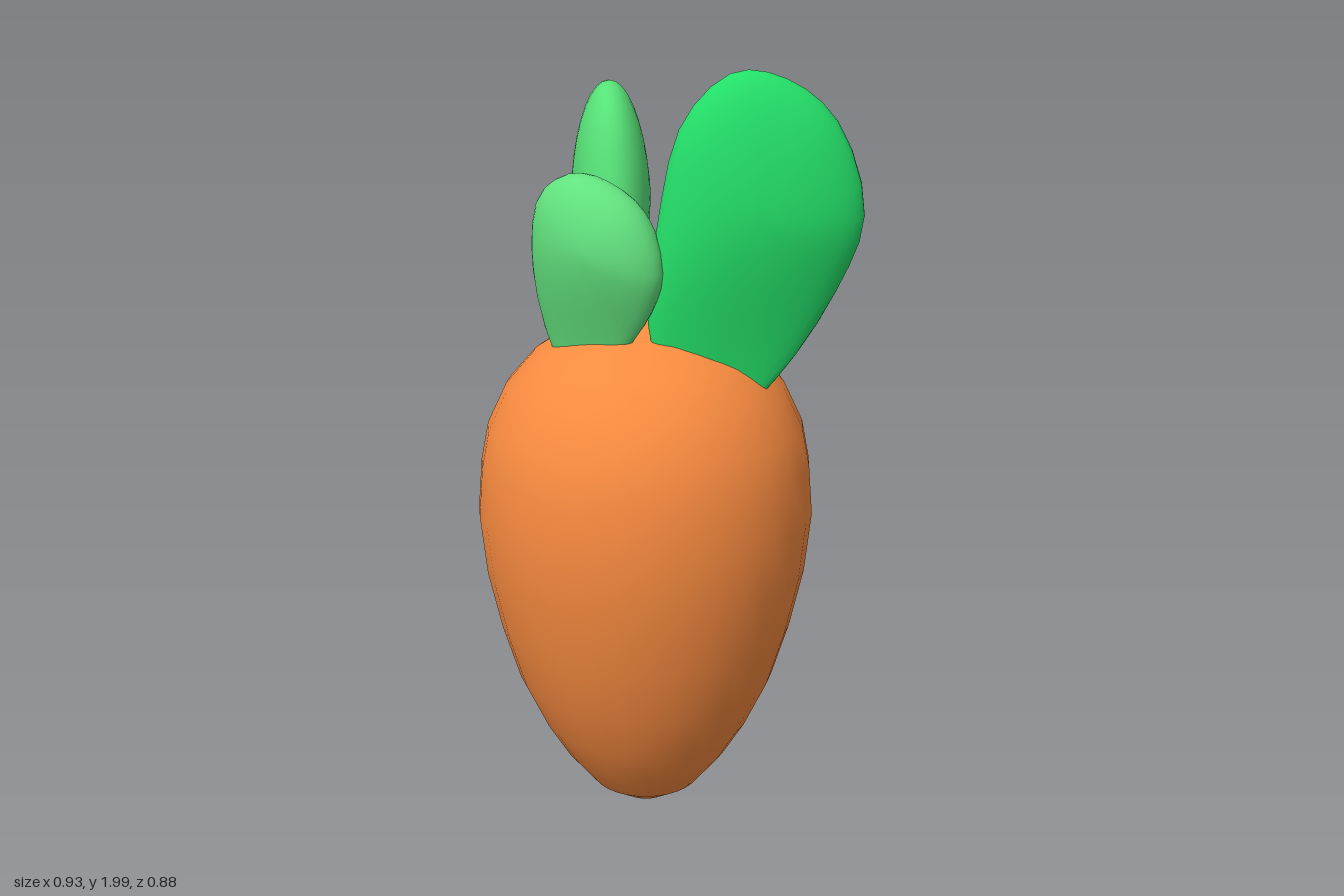
import * as THREE from 'three';
import { mergeVertices } from 'three/addons/utils/BufferGeometryUtils.js';

const vec3 = ([x, y]) => new THREE.Vector3(x, y, 0);

// Puffy leaf: a sphere remapped to a closed outline (counter-clockwise), thinner towards its base
function leafGeometry(outline, halfThickness, baseY, fullY) {
  const curve = new THREE.CatmullRomCurve3(outline.map(vec3), true);
  const box = new THREE.Box3().setFromPoints(outline.map(vec3));
  const centre = box.getCenter(new THREE.Vector3());
  centre.y += 0.07;
  const sphere = new THREE.SphereGeometry(1, 32, 20).rotateX(Math.PI / 2);
  sphere.deleteAttribute('uv');
  sphere.deleteAttribute('normal');
  const pos = sphere.attributes.position;
  for (let i = 0; i < pos.count; i++) {
    const x = pos.getX(i), y = pos.getY(i), z = pos.getZ(i);
    const t = (Math.atan2(y, x) / (2 * Math.PI) + 1) % 1;
    const p = curve.getPoint(t).sub(centre).multiplyScalar(Math.hypot(x, y)).add(centre);
    const swell = 0.25 + 0.75 * THREE.MathUtils.smoothstep(p.y, baseY, fullY);
    pos.setXYZ(i, p.x, p.y, z * halfThickness * swell);
  }
  const geometry = mergeVertices(sphere, 1e-4);
  geometry.computeVertexNormals();
  return geometry;
}

export function createModel() {
  const model = new THREE.Group();

  // Root: turned profile, rounded shoulder and blunt tip
  const profile = [
    [0, 0.01], [0.07, 0.022], [0.15, 0.075], [0.225, 0.17], [0.285, 0.27], [0.345, 0.4],
    [0.39, 0.55], [0.425, 0.71], [0.441, 0.87], [0.43, 1.0], [0.41, 1.1], [0.36, 1.205],
    [0.29, 1.285], [0.2, 1.345], [0.1, 1.373], [0, 1.38],
  ].map(([r, y]) => new THREE.Vector2(r, y));
  const root = new THREE.Mesh(
    new THREE.LatheGeometry(profile, 32),
    new THREE.MeshStandardMaterial({ color: 0xf98b40 }),
  );
  root.name = 'root';
  root.position.x = -0.035;
  model.add(root);

  // Leaves: outline in (along, up), placed and turned about the vertical
  const leaves = [
    {
      name: 'leftLeaf', color: 0x24e069, at: [0.265, -0.08], turn: 0.82, half: 0.1, baseY: 1.15, fullY: 1.7,
      outline: [[0.26, 1.66], [0.19, 1.88], [0.07, 1.98], [-0.06, 2.0], [-0.18, 1.89], [-0.24, 1.66],
        [-0.26, 1.35], [-0.17, 1.16], [-0.05, 1.16], [0.06, 1.26], [0.2, 1.48]],
    },
    {
      name: 'rightLeaf', color: 0x57e278, at: [-0.26, -0.1], turn: -0.69, half: 0.105, baseY: 1.1, fullY: 1.7,
      outline: [[0.21, 1.62], [0.13, 1.86], [0.02, 1.95], [-0.08, 1.92], [-0.155, 1.77], [-0.17, 1.6],
        [-0.11, 1.42], [-0.03, 1.28], [0.07, 1.13], [0.18, 1.16], [0.23, 1.38]],
    },
    {
      name: 'frontLeaf', color: 0x62e27e, at: [-0.035, 0.17], turn: 0.25, half: 0.1, baseY: 1.2, fullY: 1.6,
      outline: [[0.18, 1.53], [0.13, 1.67], [0.03, 1.74], [-0.07, 1.755], [-0.155, 1.7], [-0.18, 1.54],
        [-0.145, 1.34], [-0.08, 1.24], [0.02, 1.25], [0.09, 1.34], [0.15, 1.43]],
    },
  ];
  for (const { name, color, at, turn, half, baseY, fullY, outline } of leaves) {
    const leaf = new THREE.Mesh(
      leafGeometry(outline, half, baseY, fullY),
      new THREE.MeshStandardMaterial({ color }),
    );
    leaf.name = name;
    leaf.position.set(at[0], 0, at[1]);
    leaf.rotation.y = turn;
    model.add(leaf);
  }
  return model;
}
